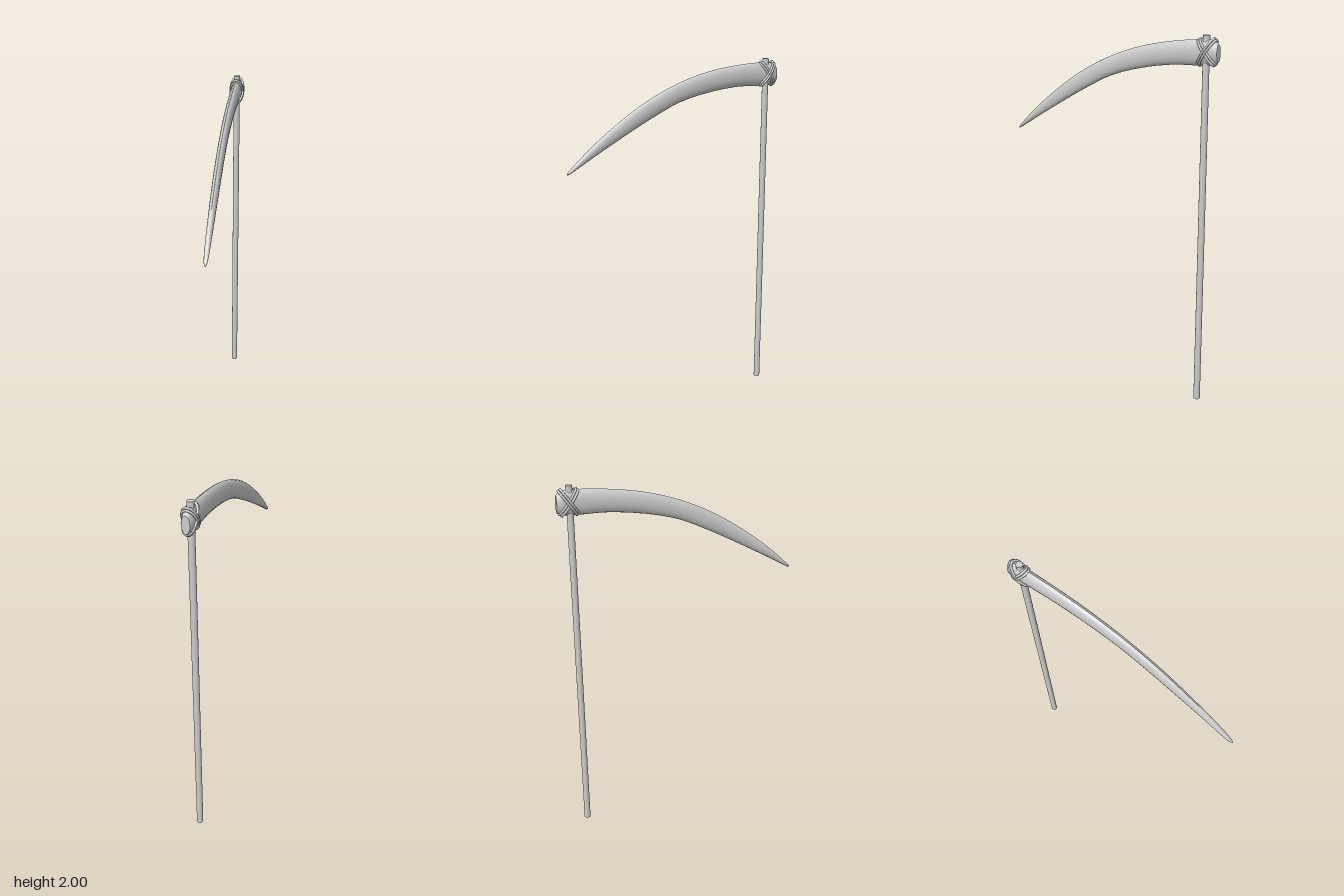
import * as THREE from 'three';
import { toCreasedNormals } from 'three/addons/utils/BufferGeometryUtils.js';

const HANDLE_Z = -0.595;
const material = new THREE.MeshStandardMaterial({ color: 0xcccccc });

function add(group, name, geometry) {
  const mesh = new THREE.Mesh(geometry, material);
  mesh.name = name;
  group.add(mesh);
  return mesh;
}

// Blade lofted from oval sections between its spine and its cutting edge
function bladeGeometry() {
  // spine z, spine y, edge z, edge y, half thickness
  const stations = [
    [-0.665, 1.955, -0.665, 1.862, 0.022],
    [-0.64, 1.972, -0.645, 1.852, 0.03],
    [-0.57, 1.978, -0.57, 1.846, 0.028],
    [-0.4, 1.968, -0.4, 1.846, 0.026],
    [-0.2, 1.938, -0.2, 1.822, 0.024],
    [0, 1.88, -0.01, 1.776, 0.022],
    [0.2, 1.79, 0.18, 1.692, 0.021],
    [0.385, 1.676, 0.36, 1.6, 0.019],
    [0.53, 1.568, 0.51, 1.52, 0.016],
    [0.62, 1.49, 0.61, 1.465, 0.013],
    [0.66, 1.453, 0.655, 1.44, 0.008],
    [0.67, 1.439, 0.669, 1.436, 0.002],
  ];
  const spine = new THREE.CatmullRomCurve3(stations.map(s => new THREE.Vector3(0, s[1], s[0])));
  const edge = new THREE.CatmullRomCurve3(stations.map(s => new THREE.Vector3(s[4], s[3], s[2])));
  const rings = 44, sides = 16, positions = [], index = [];
  for (let i = 0; i <= rings; i++) {
    const a = spine.getPoint(i / rings), b = edge.getPoint(i / rings);
    for (let j = 0; j < sides; j++) {
      const t = j / sides * Math.PI * 2, k = (1 + Math.cos(t)) / 2;
      positions.push(b.x * Math.sin(t), b.y + (a.y - b.y) * k, b.z + (a.z - b.z) * k);
    }
  }
  for (let i = 0; i < rings; i++) {
    for (let j = 0; j < sides; j++) {
      const p = i * sides + j, q = i * sides + (j + 1) % sides;
      index.push(p, p + sides, q, q, p + sides, q + sides);
    }
  }
  // close the heel and the tip
  const last = rings * sides;
  for (let j = 1; j < sides - 1; j++) {
    index.push(0, j, j + 1, last, last + j + 1, last + j);
  }
  const geometry = new THREE.BufferGeometry();
  geometry.setAttribute('position', new THREE.Float32BufferAttribute(positions, 3));
  geometry.setIndex(index);
  return toCreasedNormals(geometry, 0.7);
}

// One closed cord loop, an oval slung diagonally round the joint
function cordGeometry(length, width) {
  const points = [];
  for (let i = 0; i < 12; i++) {
    const t = i / 12 * Math.PI * 2;
    points.push(new THREE.Vector3(width * Math.sin(t), length * Math.cos(t), 0));
  }
  return new THREE.TubeGeometry(new THREE.CatmullRomCurve3(points, true), 40, 0.0065, 8, true);
}

export function createModel() {
  const model = new THREE.Group();
  model.name = 'scythe';

  const handle = add(model, 'handle', new THREE.CylinderGeometry(0.018, 0.018, 2, 16));
  handle.position.set(0, 1, HANDLE_Z);

  add(model, 'blade', bladeGeometry());

  // Crossed pairs of cords tie the blade to the handle
  const binding = new THREE.Group();
  binding.name = 'binding';
  binding.position.set(0, 1.914, HANDLE_Z - 0.005);
  model.add(binding);
  for (const side of [-1, 1]) {
    const wrap = new THREE.Group();
    wrap.name = side < 0 ? 'backwardWrap' : 'forwardWrap';
    wrap.rotation.x = side * 0.62;
    binding.add(wrap);
    for (const offset of [-0.007, 0.007]) {
      const cord = add(wrap, 'cord', cordGeometry(0.079, side < 0 ? 0.037 : 0.034));
      cord.position.z = offset;
    }
  }
  return model;
}
